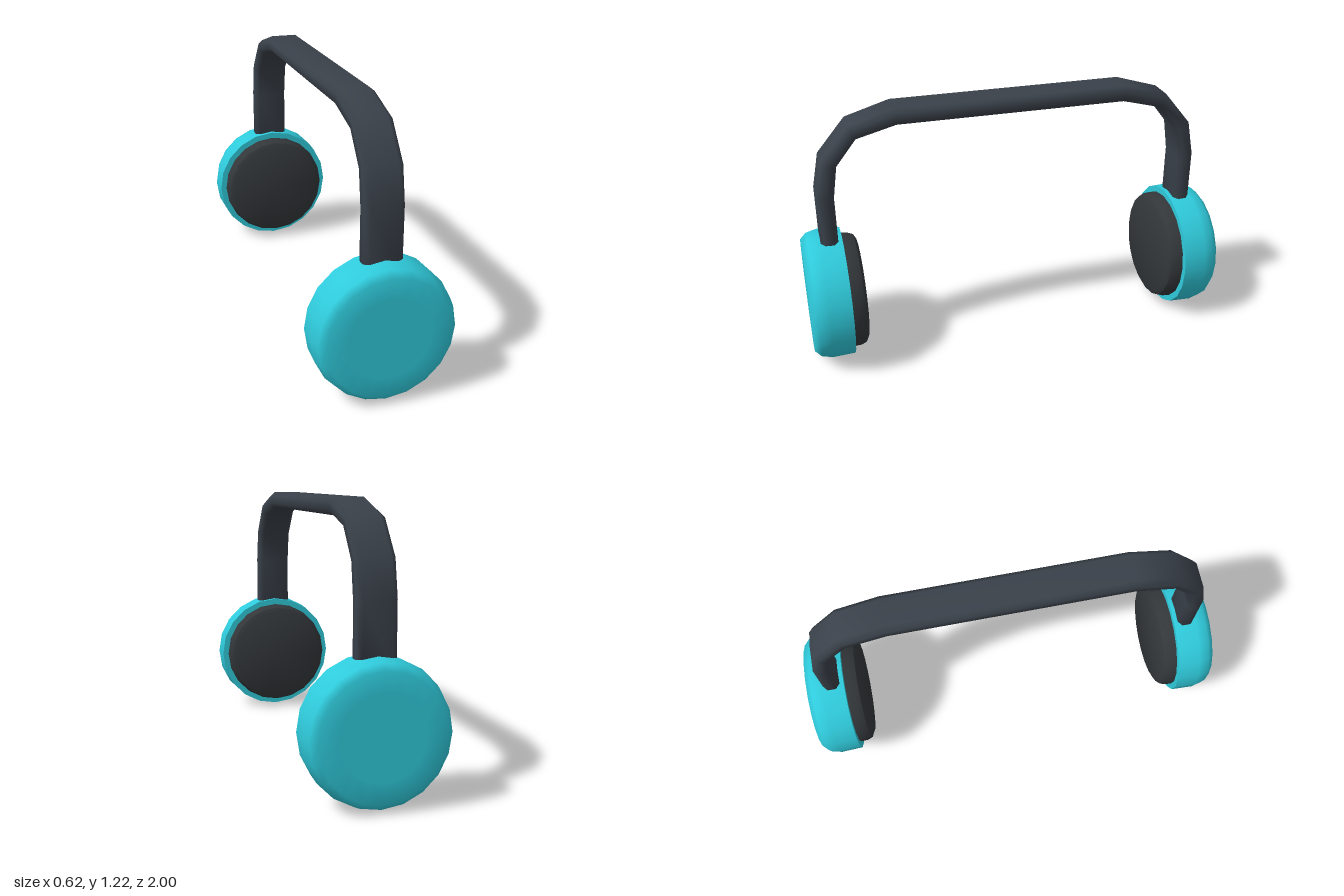
import * as THREE from 'three';
import { toCreasedNormals } from 'three/addons/utils/BufferGeometryUtils.js';

const teal = new THREE.MeshStandardMaterial({ name: 'teal shell', color: 0x2fcbdc });
const slate = new THREE.MeshStandardMaterial({ name: 'slate band', color: 0x3a414a });
const charcoal = new THREE.MeshStandardMaterial({ name: 'charcoal cushion', color: 0x33373a });

// Round part turned about the z axis; profile is [radius, z]
function turned(name, profile, material, crease) {
  const points = profile.map(([r, z]) => new THREE.Vector2(r, z));
  let geometry = new THREE.LatheGeometry(points, 20).rotateX(Math.PI / 2);
  if (crease) geometry = toCreasedNormals(geometry, crease);
  const mesh = new THREE.Mesh(geometry, material);
  mesh.name = name;
  mesh.position.y = 0.31;
  return mesh;
}

// One ear cup, facing +z
function makeEarCup(name) {
  const cup = new THREE.Group();
  cup.name = name;
  cup.add(
    turned('shell', [[0.305, 0.815], [0.309, 0.92], [0.296, 0.972], [0.268, 1], [0.18, 1], [0, 1]], teal),
    turned('shellBack', [[0, 0.815], [0.305, 0.815]], teal),
    turned('cushion', [[0, 0.742], [0.238, 0.742], [0.262, 0.755], [0.272, 0.778], [0.275, 0.82]], charcoal, 0.6)
  );
  return cup;
}

// Headband swept through paired outer and inner edge points [z, y]
function makeHeadband() {
  const half = [
    [[0.915, 0.56], [0.835, 0.56]],
    [[0.915, 0.84], [0.835, 0.83]],
    [[0.882, 1.005], [0.812, 0.98]],
    [[0.75, 1.163], [0.718, 1.1]],
    [[0.545, 1.225], [0.535, 1.148]]
  ];
  const mirrored = half.map(pair => pair.map(([z, y]) => [-z, y])).reverse();
  const path = [...half, ...mirrored];
  // Chamfered cross-section: [x, share of the way from inner to outer edge]
  const section = [
    [0.062, 1], [0.085, 0.75], [0.085, 0.25], [0.062, 0],
    [-0.062, 0], [-0.085, 0.25], [-0.085, 0.75], [-0.062, 1]
  ];
  const n = section.length;
  const positions = [];
  const index = [];
  path.forEach(([outer, inner], i) => {
    for (const [x, t] of section) {
      positions.push(x, inner[1] + (outer[1] - inner[1]) * t, inner[0] + (outer[0] - inner[0]) * t);
    }
    if (i === 0) return;
    for (let j = 0; j < n; j++) {
      const k = (j + 1) % n;
      const a = (i - 1) * n + j, b = (i - 1) * n + k;
      index.push(a, b, a + n, b, b + n, a + n);
    }
  });
  // Closed ends inside the cups
  const last = (path.length - 1) * n;
  for (let j = 1; j < n - 1; j++) {
    index.push(0, j + 1, j, last, last + j, last + j + 1);
  }
  const geometry = new THREE.BufferGeometry();
  geometry.setAttribute('position', new THREE.Float32BufferAttribute(positions, 3));
  geometry.setIndex(index);
  geometry.computeVertexNormals();
  const mesh = new THREE.Mesh(geometry, slate);
  mesh.name = 'headband';
  return mesh;
}

export function createModel() {
  const model = new THREE.Group();
  model.name = 'headphones';
  const frontCup = makeEarCup('frontEarCup');
  const backCup = makeEarCup('backEarCup');
  backCup.rotation.y = Math.PI;
  model.add(frontCup, backCup, makeHeadband());
  return model;
}
